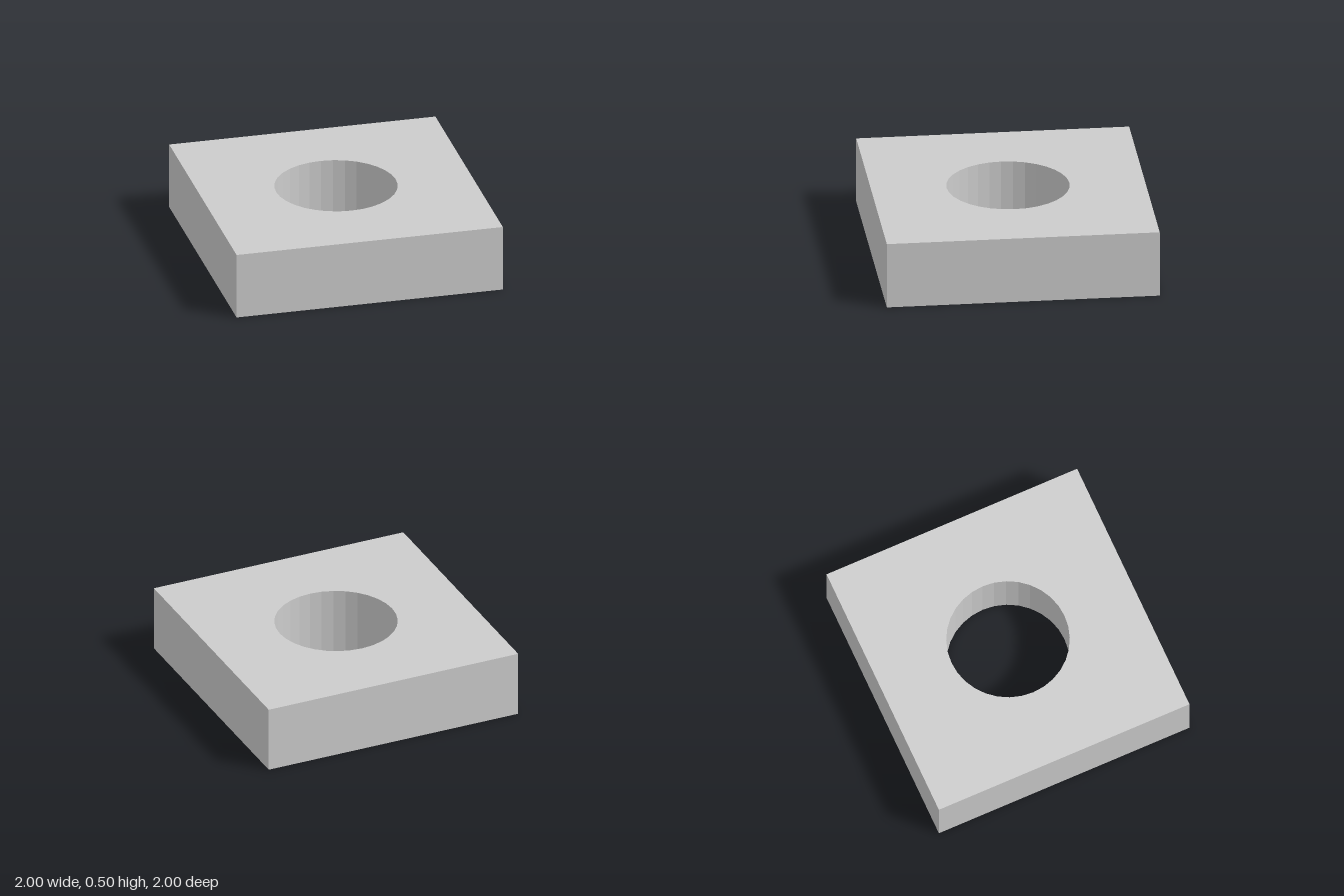
import * as THREE from 'three';

const SIZE = 2, HEIGHT = 0.5, HOLE_RADIUS = 0.45, HOLE_SIDES = 32;

export function createModel() {
  const group = new THREE.Group();
  group.name = 'squareBlockWithHole';

  // Square outline
  const h = SIZE / 2;
  const outline = new THREE.Shape([
    new THREE.Vector2(-h, -h),
    new THREE.Vector2(h, -h),
    new THREE.Vector2(h, h),
    new THREE.Vector2(-h, h),
  ]);

  // Round through-hole; an arc is sampled at twice curveSegments
  outline.holes.push(new THREE.Path().absarc(0, 0, HOLE_RADIUS, 0, Math.PI * 2, true));

  const geometry = new THREE.ExtrudeGeometry(outline, {
    depth: HEIGHT,
    bevelEnabled: false,
    curveSegments: HOLE_SIDES / 2,
  });
  geometry.rotateX(-Math.PI / 2); // lay flat, standing on y = 0

  const block = new THREE.Mesh(
    geometry,
    new THREE.MeshStandardMaterial({ color: 0xcccccc, flatShading: true })
  );
  block.name = 'block';
  group.add(block);
  return group;
}
